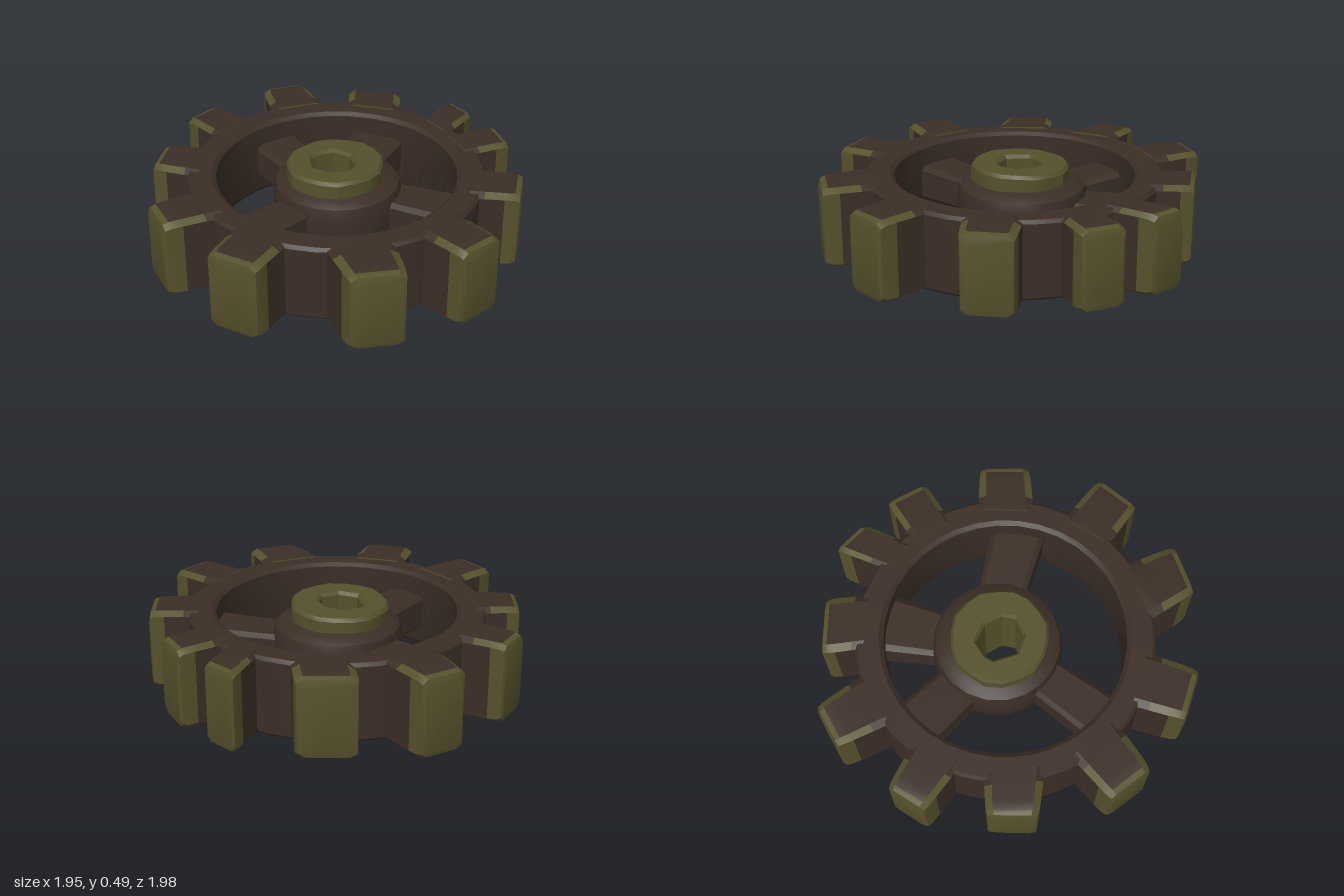
import * as THREE from 'three';
import { toCreasedNormals } from 'three/addons/utils/BufferGeometryUtils.js';

const brown = new THREE.MeshStandardMaterial({ color: 0x3b2e26 });
brown.name = 'dark brown';
const olive = new THREE.MeshStandardMaterial({ color: 0x55502b });
olive.name = 'moss olive';

// Lofts a list of closed loops of [x, y, z]; paint(ring, side) picks the colour of each strip.
function loft(rings, paint, capMaterial) {
  const faces = [[], []];
  const n = rings[0].length;
  for (let r = 0; r < rings.length - 1; r++) {
    for (let k = 0; k < n; k++) {
      const a = rings[r][k], b = rings[r][(k + 1) % n];
      const c = rings[r + 1][(k + 1) % n], d = rings[r + 1][k];
      faces[paint(r, k)].push(...a, ...b, ...c, ...a, ...c, ...d);
    }
  }
  const end = rings[rings.length - 1], start = rings[0];
  for (let k = 1; k < n - 1; k++) {
    faces[capMaterial].push(...end[0], ...end[k], ...end[k + 1]);
    faces[capMaterial].push(...start[0], ...start[k + 1], ...start[k]);
  }
  const geo = new THREE.BufferGeometry();
  geo.setAttribute('position', new THREE.Float32BufferAttribute(faces.flat(), 3));
  geo.addGroup(0, faces[0].length / 3, 0);
  geo.addGroup(faces[0].length / 3, faces[1].length / 3, 1);
  return toCreasedNormals(geo, 0.5);
}

// Octagonal section across p0 -> p1 (x, z pairs), from yB up to yT, with chamfered corners.
function section(p0, p1, yB, yT, bw, bh, pinch = 0) {
  const at = (w, y) => {
    const v = pinch + w * (1 - 2 * pinch);
    return [p0[0] + (p1[0] - p0[0]) * v, y, p0[1] + (p1[1] - p0[1]) * v];
  };
  return [at(bw, yT), at(1 - bw, yT), at(1, yT - bh), at(1, yB + bh),
    at(1 - bw, yB), at(bw, yB), at(0, yB + bh), at(0, yT - bh)];
}

const mix = (a, b, t) => [a[0] + (b[0] - a[0]) * t, a[1] + (b[1] - a[1]) * t];

// Worn tooth: brown faces with mossy edges, tip and underside.
function toothGeometry([a0, a1, b0, b1]) {
  const stations = [[-0.25, 0, 0], [0.12, 0, 0], [0.6, 0, 0], [0.84, 0.002, 0.01], [0.96, 0.012, 0.03], [1, 0.04, 0.08]];
  const rings = stations.map(([t, drop, pinch]) =>
    section(mix(a0, b0, t), mix(a1, b1, t), 0.045 + drop, 0.46 - drop, 0.13, 0.022, pinch));
  const paint = (r, k) => {
    if (k === 0) return r >= 3 ? 1 : 0;
    if (k === 1 || k === 7) return r >= 1 ? 1 : 0;
    if (k === 2 || k === 6) return r >= 2 ? 1 : 0;
    return 1;
  };
  return loft(rings, paint, 1);
}

function lathe(points, segments) {
  const profile = points.map(([r, y]) => new THREE.Vector2(r, y));
  return toCreasedNormals(new THREE.LatheGeometry(profile, segments), 0.6);
}

export function createModel() {
  const model = new THREE.Group();
  const add = (name, geo, material, x = 0, z = 0) => {
    const mesh = new THREE.Mesh(geo, material);
    mesh.name = name;
    mesh.position.set(x, 0, z);
    model.add(mesh);
    return mesh;
  };

  // Rim, with a mossy underside
  add('rim', lathe([
    [0.74, 0.05], [0.757, 0.065], [0.757, 0.435], [0.742, 0.452],
    [0.635, 0.452], [0.613, 0.435], [0.613, 0.075], [0.63, 0.05],
  ], 36), brown, 0.015, -0.005);
  add('rimUnderside', lathe([[0.63, 0.05], [0.74, 0.05]], 36), olive, 0.015, -0.005);

  // Uneven teeth: two root corners, then two tip corners, as x, z
  const teeth = [
    [[0.09, -0.79], [0.36, -0.72], [0.16, -1.0], [0.39, -0.94]],
    [[0.48, -0.6], [0.68, -0.39], [0.58, -0.74], [0.79, -0.53]],
    [[0.76, -0.22], [0.77, -0.03], [0.96, -0.31], [0.97, -0.11]],
    [[0.76, 0.02], [0.72, 0.24], [0.98, 0.06], [0.92, 0.28]],
    [[0.65, 0.41], [0.45, 0.61], [0.79, 0.55], [0.61, 0.74]],
    [[0.28, 0.72], [0.02, 0.78], [0.31, 0.96], [0.06, 0.99]],
    [[-0.15, 0.76], [-0.44, 0.64], [-0.23, 0.97], [-0.48, 0.86]],
    [[-0.59, 0.47], [-0.73, 0.22], [-0.79, 0.57], [-0.92, 0.33]],
    [[-0.74, 0.07], [-0.72, -0.21], [-0.98, 0.03], [-0.95, -0.22]],
    [[-0.64, -0.37], [-0.46, -0.6], [-0.77, -0.53], [-0.59, -0.71]],
    [[-0.33, -0.67], [-0.1, -0.78], [-0.37, -0.91], [-0.16, -0.96]],
  ];
  teeth.forEach((tooth, i) => add(`tooth${i + 1}`, toothGeometry(tooth), [brown, olive]));

  // Four spokes from hub to rim
  const spokes = [
    [[-0.09, -0.25], [0.13, -0.25], [-0.11, -0.65], [0.15, -0.65]],
    [[0.11, -0.22], [0.26, -0.06], [0.43, -0.49], [0.62, -0.25]],
    [[0.31, 0.08], [0.11, 0.2], [0.53, 0.39], [0.31, 0.56]],
    [[-0.22, 0.12], [-0.22, -0.09], [-0.64, 0.21], [-0.64, -0.04]],
  ];
  spokes.forEach(([a0, a1, b0, b1], i) => {
    const rings = [section(a0, a1, 0.16, 0.33, 0.1, 0.02), section(b0, b1, 0.15, 0.34, 0.1, 0.02)];
    add(`spoke${i + 1}`, loft(rings, () => 0, 0), [brown, olive]);
  });

  // Hub barrel
  add('hub', lathe([
    [0.2, 0.09], [0.28, 0.1], [0.32, 0.13], [0.332, 0.18],
    [0.332, 0.32], [0.318, 0.37], [0.28, 0.395], [0.2, 0.41],
  ], 20), brown, 0.04, -0.035);

  // Collar through the hub, with an angular bore
  const outline = [];
  for (let i = 0; i < 18; i++) {
    const a = (i / 18) * Math.PI * 2;
    const r = 0.236 + 0.005 * Math.sin(i * 2.3);
    outline.push(new THREE.Vector2(r * Math.cos(a), r * Math.sin(a)));
  }
  const shape = new THREE.Shape(outline);
  const bore = [[-0.08, -0.12], [-0.03, -0.135], [0.07, -0.115], [0.11, -0.01],
    [0.08, 0.09], [0.01, 0.135], [-0.09, 0.1], [-0.14, 0.0]];
  shape.holes.push(new THREE.Path(bore.map(([x, z]) => new THREE.Vector2(x, z))));
  const collar = new THREE.ExtrudeGeometry(shape, {
    depth: 0.42, bevelEnabled: true, bevelThickness: 0.018, bevelSize: 0.013, bevelSegments: 1,
  });
  collar.rotateX(Math.PI / 2).translate(0, 0.47, 0);
  // Worn ends: the bottom dips to one side, the top tilts slightly
  const p = collar.attributes.position;
  for (let i = 0; i < p.count; i++) {
    const x = p.getX(i), y = p.getY(i), z = p.getZ(i);
    if (y < 0.2) p.setY(i, y + 0.003 - 0.14 * x + 0.02 * z);
    else p.setY(i, y - 0.006 + 0.03 * z);
  }
  collar.computeBoundingBox();
  const low = collar.boundingBox.min.y;
  for (let i = 0; i < p.count; i++) if (p.getY(i) < 0.2) p.setY(i, p.getY(i) - low);
  add('collar', toCreasedNormals(collar, 0.5), olive, 0.025, -0.035);

  return model;
}
